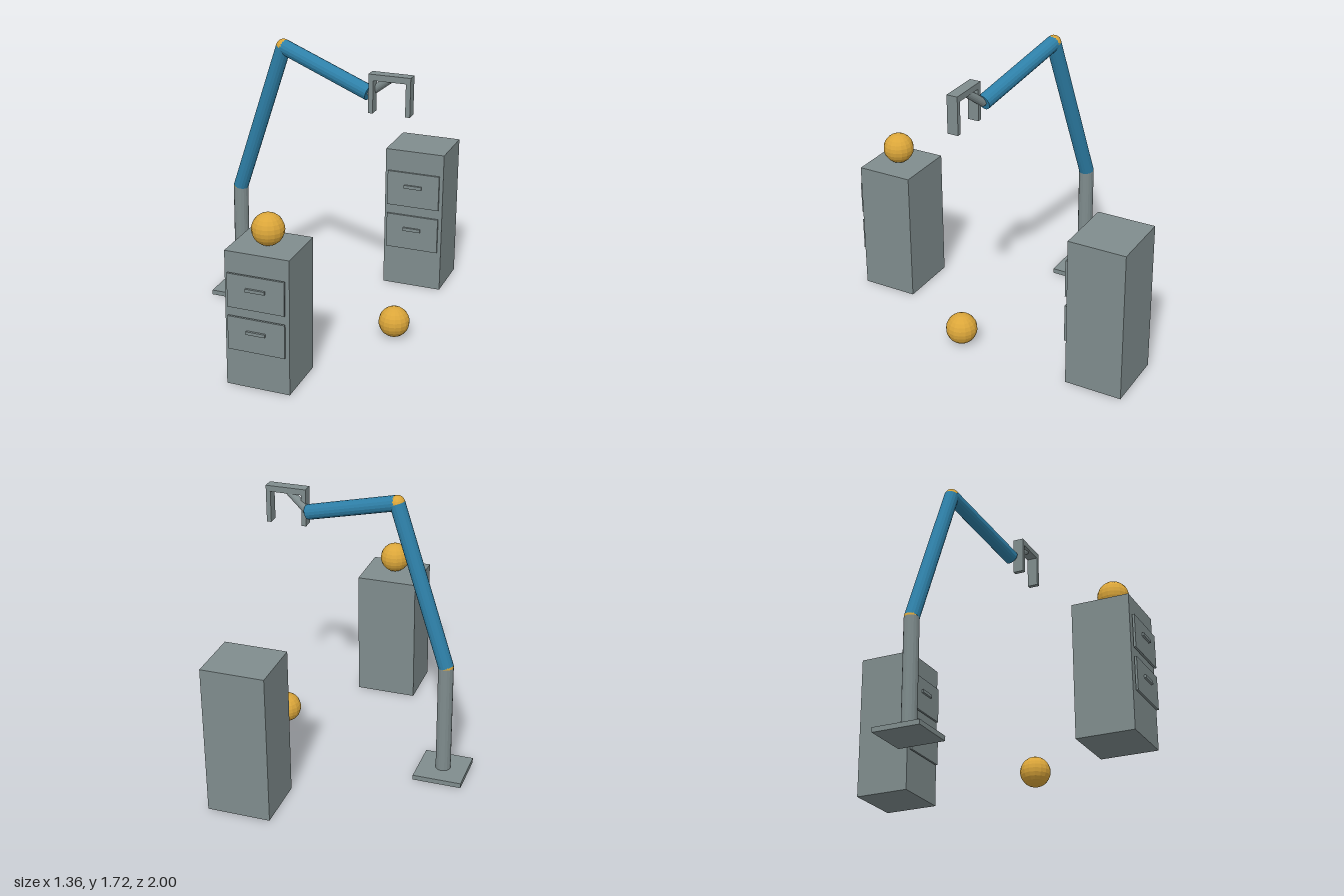
import * as THREE from 'three';

const mat = (name, color) => {
  const m = new THREE.MeshStandardMaterial({ color, flatShading: true });
  m.name = name;
  return m;
};

export function createModel() {
  const grey = mat('steel grey', 0x7f8c8d);
  const blue = mat('arm blue', 0x2e80a8);
  const gold = mat('golden yellow', 0xdba63a);
  const model = new THREE.Group();
  model.name = 'robotArmScene';

  const add = (parent, name, geo, material, x, y, z) => {
    const mesh = new THREE.Mesh(geo, material);
    mesh.name = name;
    mesh.position.set(x, y, z);
    parent.add(mesh);
    return mesh;
  };
  // box given by its limits on each axis
  const box = (parent, name, [x0, x1], [y0, y1], [z0, z1]) =>
    add(parent, name, new THREE.BoxGeometry(x1 - x0, y1 - y0, z1 - z0), grey,
      (x0 + x1) / 2, (y0 + y1) / 2, (z0 + z1) / 2);
  const ball = (parent, name, p, r) =>
    add(parent, name, new THREE.SphereGeometry(r, 16, 12), gold, p.x, p.y, p.z);
  // cylinder running from a to b
  const rod = (parent, name, a, b, r, material) => {
    const dir = b.clone().sub(a);
    const c = a.clone().add(b).multiplyScalar(0.5);
    const mesh = add(parent, name, new THREE.CylinderGeometry(r, r, dir.length(), 16), material, c.x, c.y, c.z);
    mesh.quaternion.setFromUnitVectors(new THREE.Vector3(0, 1, 0), dir.normalize());
  };
  const v = (x, y, z) => new THREE.Vector3(x, y, z);

  // Robot arm
  const arm = new THREE.Group();
  arm.name = 'robotArm';
  model.add(arm);
  const R = 0.046;
  const foot = v(-0.535, 0.03, -0.19);
  const shoulder = v(-0.535, 0.72, -0.19);
  const elbow = v(-0.205, 1.675, -0.115);
  const wrist = v(0.383, 1.493, 0.02);
  box(arm, 'basePlate', [-0.683, -0.387], [0, 0.03], [-0.338, -0.042]);
  rod(arm, 'post', foot, shoulder, R, grey);
  ball(arm, 'shoulderJoint', shoulder, R);
  rod(arm, 'lowerArm', shoulder, elbow, R, blue);
  ball(arm, 'elbowJoint', elbow, R);
  rod(arm, 'upperArm', elbow, wrist, R, blue);
  rod(arm, 'wristStrut', wrist, v(0.526, 1.605, 0.058), 0.024, grey);

  // Gripper
  const gz = [0.025, 0.092];
  box(arm, 'gripperBar', [0.402, 0.652], [1.59, 1.627], gz);
  box(arm, 'leftFinger', [0.624, 0.652], [1.396, 1.59], gz);
  box(arm, 'rightFinger', [0.402, 0.43], [1.396, 1.59], gz);

  // Cabinets with two drawers each; heights scale together
  const cabinet = (name, x, zFront, h) => {
    const g = new THREE.Group();
    g.name = name;
    model.add(g);
    box(g, 'cabinetBody', [x - 0.191, x + 0.191], [0, h], [zFront - 0.347, zFront]);
    for (const [label, k] of [['upper', 0.726], ['lower', 0.41]]) {
      const y = k * h;
      box(g, label + 'Drawer', [x - 0.17, x + 0.17], [y - 0.124 * h, y + 0.124 * h], [zFront + 0.009, zFront + 0.022]);
      box(g, label + 'Handle', [x - 0.057, x + 0.057], [y + 0.013 * h, y + 0.036 * h], [zFront + 0.022, zFront + 0.035]);
    }
  };
  cabinet('frontCabinet', 0.086, 0.965, 0.815);
  cabinet('backCabinet', 0.461, -0.653, 0.922);

  // Loose balls
  ball(model, 'cabinetBall', v(0.087, 0.909, 0.806), 0.094);
  ball(model, 'floorBall', v(0.584, 0.098, 0.072), 0.094);

  return model;
}
